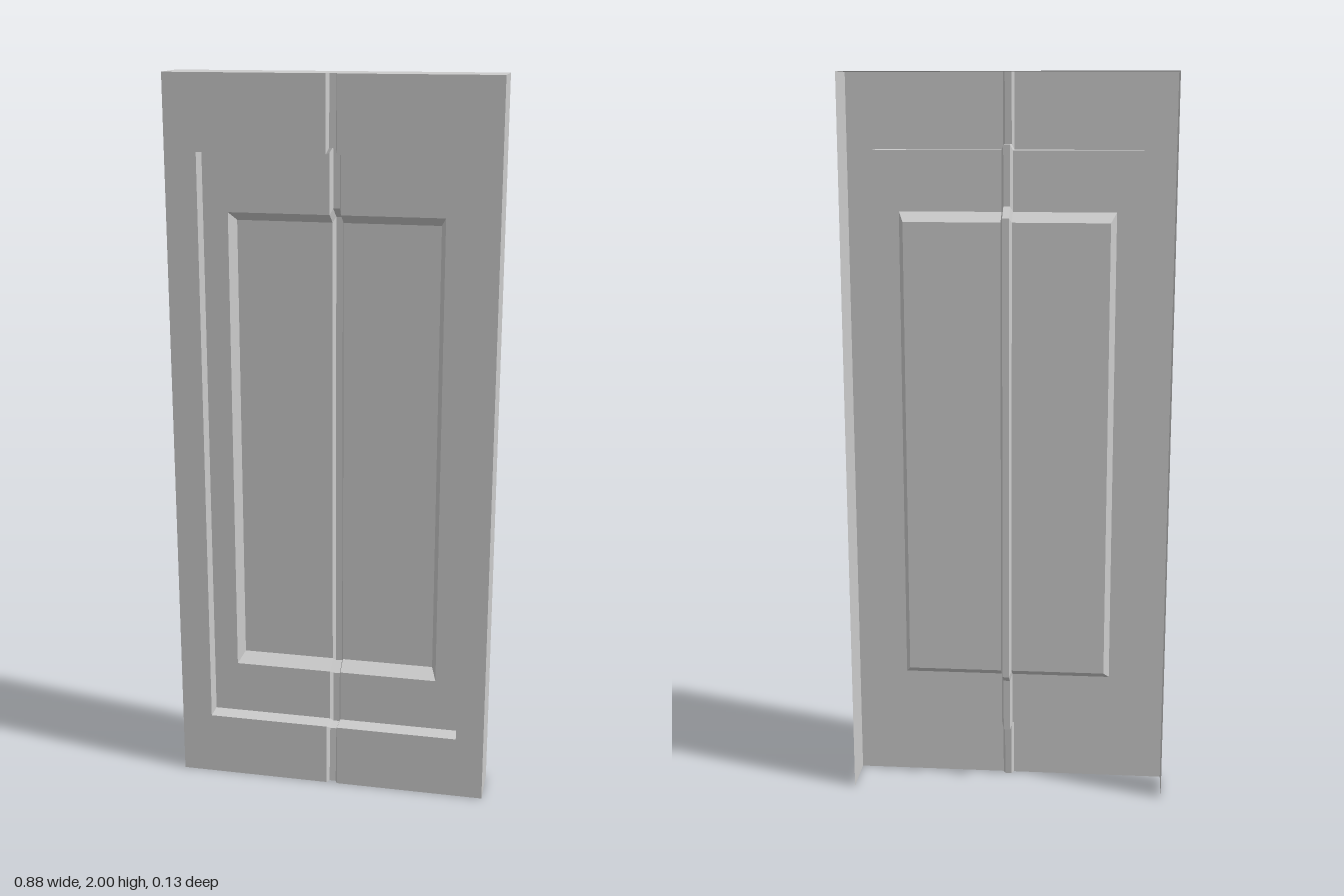
import * as THREE from 'three';

const W = 0.44, H = 2, D = 0.064;   // half width, height, half depth
const CX = 0.004;                   // centre line of the panelling
const LIP = 0.015, FLOOR = 0.009;   // half widths of the groove opening and floor

const material = new THREE.MeshStandardMaterial({
  color: 0xcccccc, flatShading: true, side: THREE.DoubleSide,
});

// Flat mesh from quads, each four corners in order
function quadMesh(name, quads) {
  const pos = [];
  for (const [a, b, c, d] of quads) pos.push(...a, ...b, ...c, ...a, ...c, ...d);
  const geo = new THREE.BufferGeometry();
  geo.setAttribute('position', new THREE.Float32BufferAttribute(pos, 3));
  geo.computeVertexNormals();
  const mesh = new THREE.Mesh(geo, material);
  mesh.name = name;
  return mesh;
}

// Nested steps of the face: half width, top, bottom, depth
const steps = [
  { w: W, top: H, bottom: 0, z: D },
  { w: 0.358, top: 1.80, bottom: 0.18, z: D },
  { w: 0.358, top: 1.80, bottom: 0.18, z: 0.013 },
  { w: 0.29, top: 1.64, bottom: 0.33, z: 0.013 },
  { w: 0.275, top: 1.615, bottom: 0.355, z: -0.024 },
];

// One half of the stepped face, from the groove lip outwards
function facePanel(name, s) {
  const rings = steps.map(({ w, top, bottom, z }) => {
    const lip = CX + s * LIP;
    const x = w === W ? s * W : CX + s * w;
    return [[lip, top, z], [x, top, z], [x, bottom, z], [lip, bottom, z]];
  });
  const quads = [];
  for (let k = 0; k < rings.length - 1; k++) {
    const a = rings[k], b = rings[k + 1];
    for (let i = 0; i < 3; i++) quads.push([a[i], b[i], b[i + 1], a[i + 1]]);
  }
  const last = rings[rings.length - 1];
  quads.push([last[0], last[3], last[2], last[1]]);
  return quadMesh(name, s > 0 ? quads : quads.map((q) => q.reverse()));
}

// Groove with sloping cheeks that follows the steps from top to bottom
function centreGroove() {
  const lip = [
    ...steps.map((p) => [p.top, p.z]),
    ...steps.map((p) => [p.bottom, p.z]).reverse(),
  ];
  const floor = [
    [2, 0.041], [1.815, 0.05], [1.815, -0.006], [1.655, -0.004], [1.628, -0.044],
    [0.342, -0.042], [0.317, -0.008], [0.165, -0.004], [0.165, 0.041], [0, 0.052],
  ];
  const rows = lip.map((p, i) => [
    [CX - LIP, ...p], [CX - FLOOR, ...floor[i]],
    [CX + FLOOR, ...floor[i]], [CX + LIP, ...p],
  ]);
  const quads = [];
  for (let i = 0; i < rows.length - 1; i++) {
    for (let j = 0; j < 3; j++) {
      quads.push([rows[i][j], rows[i + 1][j], rows[i + 1][j + 1], rows[i][j + 1]]);
    }
  }
  return quadMesh('centreGroove', quads);
}

// Top plate, notched where the groove meets it
function topPlate() {
  const outline = [
    [-W, -D], [CX - LIP, -D], [CX - FLOOR, -0.041], [CX + FLOOR, -0.041],
    [CX + LIP, -D], [W, -D], [W, D], [-W, D],
  ].map(([x, y]) => new THREE.Vector2(x, y));
  const geo = new THREE.ShapeGeometry(new THREE.Shape(outline));
  geo.rotateX(-Math.PI / 2).translate(0, H, 0);
  const mesh = new THREE.Mesh(geo, material);
  mesh.name = 'topPlate';
  return mesh;
}

// Side wall; back and underside of the door stay open
function sideWall(name, s) {
  const x = s * W;
  const quad = [[x, 0, D], [x, 0, -D], [x, H, -D], [x, H, D]];
  return quadMesh(name, [s > 0 ? quad : quad.reverse()]);
}

export function createModel() {
  const door = new THREE.Group();
  door.name = 'panelledDoor';
  for (const [side, s] of [['left', 1], ['right', -1]]) {
    door.add(facePanel(side + 'FacePanel', s), sideWall(side + 'SideWall', s));
  }
  door.add(centreGroove(), topPlate());
  return door;
}
